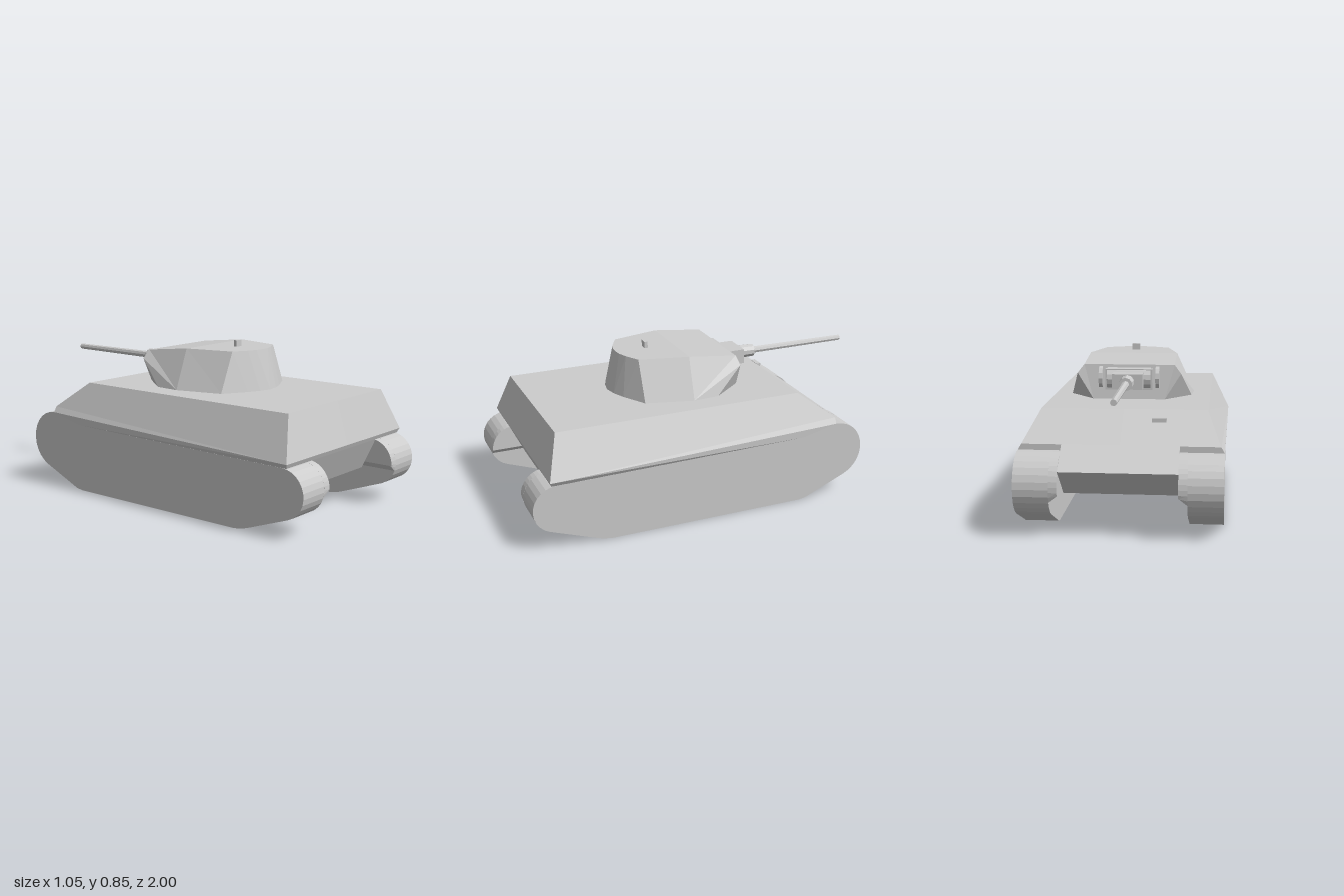
import * as THREE from 'three';

const grey = new THREE.MeshStandardMaterial({ color: 0xcccccc, flatShading: true, side: THREE.DoubleSide });

function add(parent, name, geometry, x = 0, y = 0, z = 0) {
  const mesh = new THREE.Mesh(geometry, grey);
  mesh.name = name;
  mesh.position.set(x, y, z);
  parent.add(mesh);
  return mesh;
}

// Faces of the +x half as corner loops; the -x half is mirrored.
function mirroredSolid(faces) {
  const pos = [];
  for (const f of faces) {
    for (let i = 1; i < f.length - 1; i++) {
      pos.push(...f[0], ...f[i], ...f[i + 1]);
      for (const [x, y, z] of [f[0], f[i + 1], f[i]]) pos.push(-x, y, z);
    }
  }
  const g = new THREE.BufferGeometry();
  g.setAttribute('position', new THREE.Float32BufferAttribute(pos, 3));
  g.computeVertexNormals();
  return g;
}

// Side profile of [z, y] points, extruded from x0 to x1.
function sideExtrude(points, x0, x1) {
  const shape = new THREE.Shape(points.map(([z, y]) => new THREE.Vector2(-z, y)));
  return new THREE.ExtrudeGeometry(shape, { depth: x1 - x0, bevelEnabled: false })
    .rotateY(Math.PI / 2).translate(x0, 0, 0);
}

// Track outline: rounded ends joined by the top run and the given bottom points.
function trackOutline(frontEnd, rearEnd, bottom) {
  const pts = [[-0.5, 0.37]], n = 12;
  for (let i = 0; i <= n; i++) {
    const a = THREE.MathUtils.degToRad(frontEnd * i / n);
    pts.push([-0.7 - 0.162 * Math.sin(a), 0.255 + 0.162 * Math.cos(a)]);
  }
  pts.push(...bottom);
  for (let i = n; i >= 0; i--) {
    const a = THREE.MathUtils.degToRad(rearEnd * i / n);
    pts.push([0.873 + 0.127 * Math.sin(a), 0.225 + 0.127 * Math.cos(a)]);
  }
  return pts;
}

function buildHull(parent) {
  // Lower tub with sloped nose and tail
  add(parent, 'lowerHull', sideExtrude(
    [[0.9, 0.353], [0.82, 0.187], [-0.65, 0.187], [-0.845, 0.34], [-0.7, 0.447]], -0.293, 0.293));

  // Upper hull with sloped sides, glacis and tail plate
  const topRear = [0.425, 0.595, 0.845], topFront = [0.425, 0.595, -0.5];
  const edgeRear = [0.527, 0.375, 0.91], edgeFront = [0.495, 0.447, -0.7];
  const sill = [[0.513, 0.352, 0.9], [0.513, 0.37, -0.5], [0.513, 0.416, -0.7]];
  add(parent, 'upperHull', mirroredSolid([
    [edgeRear, edgeFront, topFront, topRear],
    [edgeRear, ...sill, edgeFront],
    [[0, 0.595, 0.845], topRear, topFront, [0, 0.595, -0.5]],
    [[0, 0.595, -0.5], topFront, edgeFront, [0.293, 0.447, -0.7], [0, 0.447, -0.7]],
    [[0, 0.375, 0.91], edgeRear, topRear, [0, 0.595, 0.845]],
    [[0, 0.352, 0.9], sill[0], edgeRear, [0, 0.375, 0.91]],
    [sill[2], [0.293, 0.416, -0.7], [0.293, 0.447, -0.7], edgeFront],
  ]));
  add(parent, 'visor', new THREE.BoxGeometry(0.073, 0.03, 0.025), -0.183, 0.547, -0.56);
}

function buildTracks(parent) {
  const full = trackOutline(156, 160,
    [[-0.56, 0.02], [-0.53, 0.007], [-0.49, 0], [0.59, 0], [0.64, 0.007], [0.68, 0.02]]);
  const upper = trackOutline(114.8, 107.4, []);
  for (const side of [1, -1]) {
    const track = new THREE.Group();
    track.name = side > 0 ? 'leftTrack' : 'rightTrack';
    add(track, 'trackBody', side > 0 ? sideExtrude(full, 0.338, 0.513) : sideExtrude(full, -0.513, -0.338));
    // Inner upper strip, its underside sloping up toward the hull
    const g = side > 0 ? sideExtrude(upper, 0.293, 0.338) : sideExtrude(upper, -0.338, -0.293);
    const p = g.attributes.position;
    for (let i = 0; i < p.count; i++) {
      if (Math.abs(p.getX(i)) < 0.3 && p.getY(i) < 0.222) p.setY(i, 0.222);
    }
    g.computeVertexNormals();
    add(track, 'trackInnerStrip', g);
    parent.add(track);
  }
}

function buildTurret(parent) {
  const turret = new THREE.Group();
  turret.name = 'turret';
  add(turret, 'turretRing', new THREE.CylinderGeometry(0.245, 0.245, 0.02, 32), 0, 0.598, 0.08);

  // Outlines from rear centre forward, base and roof
  const base = [[0, 0.425], [0.07, 0.412], [0.14, 0.383], [0.27, 0.31], [0.335, 0.06],
    [0.325, -0.08], [0.19, -0.25], [0, -0.25]].map(([x, z]) => [x, 0.605, z]);
  const roof = [[0, 0.375], [0.05, 0.37], [0.1, 0.352], [0.178, 0.31], [0.24, 0.05]]
    .map(([x, z]) => [x, 0.815, z]);
  const bend = [0, 0.815, 0.05], brow = [0.24, 0.785, -0.22], browMid = [0, 0.785, -0.22];
  const cheek = [0.275, 0.74, -0.232];
  const faces = [
    [base[4], base[5], cheek, brow, roof[4]],
    [base[5], base[6], cheek],
    [base[6], base[7], browMid, brow, cheek],
    [...roof, bend],
    [bend, roof[4], brow, browMid],
    [...base].reverse(),
  ];
  for (let i = 0; i < 4; i++) faces.push([base[i], base[i + 1], roof[i + 1], roof[i]]);
  add(turret, 'turretShell', mirroredSolid(faces));
  add(turret, 'roofPeriscope', new THREE.BoxGeometry(0.042, 0.035, 0.018), 0, 0.832, 0.205);
  parent.add(turret);
}

function buildGun(parent) {
  const gun = new THREE.Group();
  gun.name = 'gun';
  gun.position.y = 0.71;
  const rod = (name, rBack, rFront, z0, z1, sides) => add(gun, name,
    new THREE.CylinderGeometry(rFront, rBack, z0 - z1, sides).rotateX(-Math.PI / 2), 0, 0, (z0 + z1) / 2);

  // Rounded mantlet with thin cheek plates
  add(gun, 'mantletPlate', new THREE.BoxGeometry(0.25, 0.11, 0.03), 0, 0, -0.24);
  add(gun, 'mantlet', new THREE.CylinderGeometry(0.058, 0.058, 0.23, 14).rotateZ(Math.PI / 2), 0, 0.003, -0.222);
  for (const s of [1, -1]) {
    add(gun, 'mantletCheek', new THREE.CylinderGeometry(0.065, 0.065, 0.02, 14).rotateZ(Math.PI / 2),
      s * 0.15, 0.005, -0.2);
  }
  add(gun, 'gunCradle', new THREE.BoxGeometry(0.16, 0.08, 0.08), 0, 0, -0.31);
  rod('gunSleeve', 0.037, 0.035, -0.34, -0.44, 10);
  rod('barrel', 0.019, 0.016, -0.43, -1, 8);
  parent.add(gun);
}

export function createModel() {
  const tank = new THREE.Group();
  tank.name = 'tank';
  buildHull(tank);
  buildTracks(tank);
  buildTurret(tank);
  buildGun(tank);
  return tank;
}
